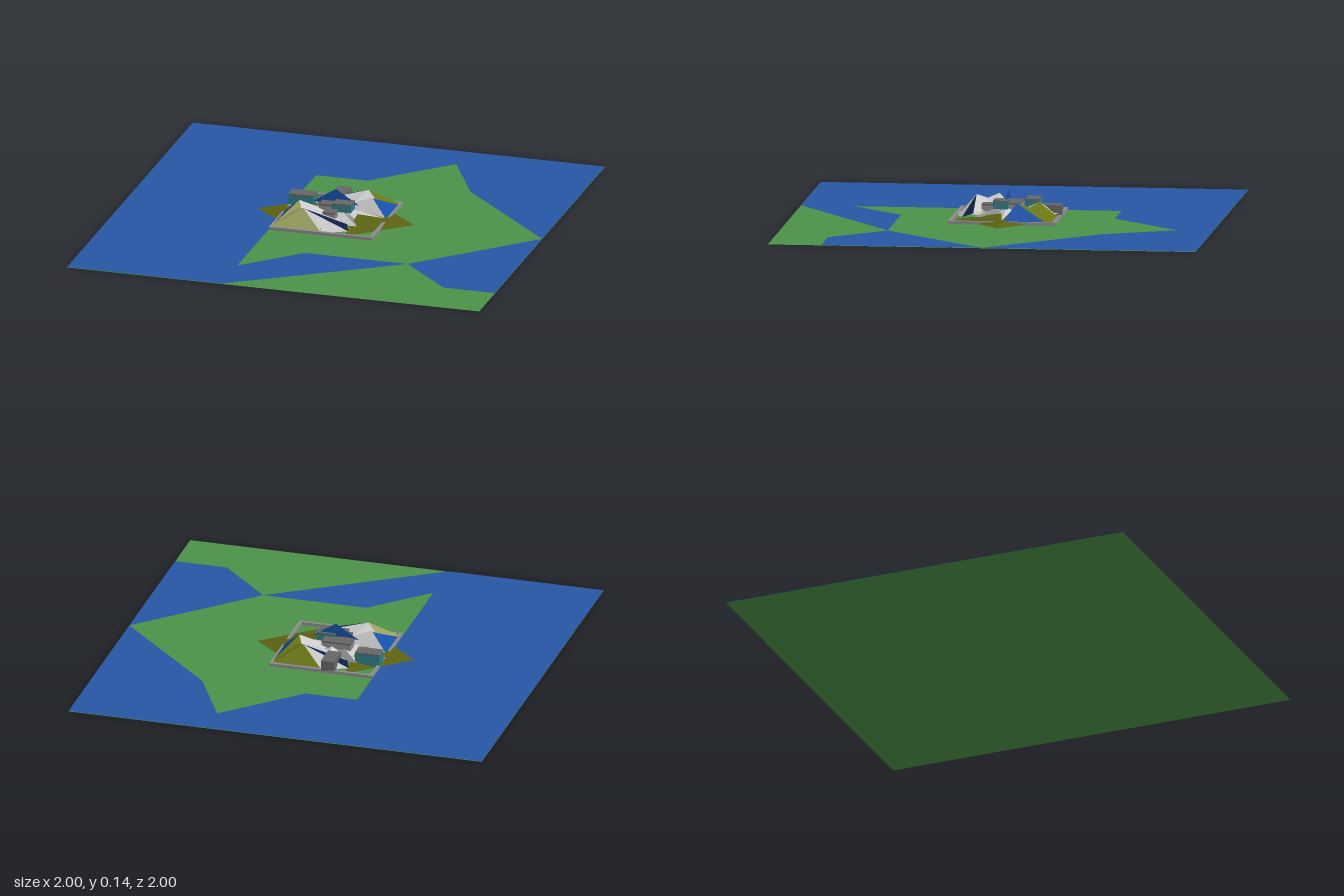
import * as THREE from 'three';

const mat = (color) => new THREE.MeshStandardMaterial({ color, flatShading: true, side: THREE.DoubleSide });
const M = {
  land: mat(0x4a9148), water: mat(0x2656a3), blue: mat(0x1450a8), navy: mat(0x0c1c44),
  olive: mat(0x6b7812), darkOlive: mat(0x5c6212), khaki: mat(0x9a9f60),
  rock: mat(0xcccccc), stone: mat(0x8c8c8c), roof: mat(0x666666), teal: mat(0x2f7f86),
};

// Flat polygon on the ground, points given as [x, z]
function flat(name, pts, y, material) {
  const shape = new THREE.Shape(pts.map(([x, z]) => new THREE.Vector2(x, -z)));
  const mesh = new THREE.Mesh(new THREE.ShapeGeometry(shape).rotateX(-Math.PI / 2), material);
  mesh.name = name;
  mesh.position.y = y;
  return mesh;
}

// Faceted hill: apex joined to a ring of base points, one material per face
function hill(name, apex, ring, materials) {
  const g = new THREE.Group();
  g.name = name;
  ring.forEach((p, i) => {
    const q = ring[(i + 1) % ring.length];
    const geo = new THREE.BufferGeometry();
    geo.setAttribute('position', new THREE.Float32BufferAttribute([...p, ...q, ...apex], 3));
    geo.computeVertexNormals();
    g.add(new THREE.Mesh(geo, materials[i % materials.length]));
  });
  return g;
}

// Box between two heights, given by its x and z ranges
function block(name, x0, x1, y0, y1, z0, z1, material) {
  const mesh = new THREE.Mesh(new THREE.BoxGeometry(x1 - x0, y1 - y0, z1 - z0), material);
  mesh.name = name;
  mesh.position.set((x0 + x1) / 2, (y0 + y1) / 2, (z0 + z1) / 2);
  return mesh;
}

// Half of the hills; the other half is the same turned by 180 degrees
function hillSide(name, frontMaterial) {
  const g = new THREE.Group();
  g.name = name;
  g.add(hill('outerSlope', [-0.11, 0.036, 0],
    [[-0.11, 0.003, -0.24], [-0.38, 0.003, 0], [-0.11, 0.003, 0.24]], [M.darkOlive]));
  g.add(hill('sidePeak', [-0.16, 0.09, 0.06],
    [[-0.25, 0.005, 0], [-0.25, 0.005, 0.22], [-0.11, 0.05, 0.16], [0, 0.04, 0.04]],
    [M.blue, frontMaterial, M.rock, M.rock]));
  g.add(hill('frontPeak', [-0.11, 0.09, 0.16],
    [[-0.25, 0.005, 0.235], [0, 0.005, 0.235], [0.12, 0.015, 0.2], [0.1, 0.03, 0.15], [-0.05, 0.04, 0.06], [-0.17, 0.06, 0.1]],
    [frontMaterial, M.rock, M.navy, M.rock, M.rock, frontMaterial]));
  return g;
}

export function createModel() {
  const model = new THREE.Group();

  // Ground and the water lying on it
  model.add(flat('land', [[-1, -1], [1, -1], [1, 1], [-1, 1]], 0, M.land));
  model.add(flat('sea', [
    [-1, -1], [1, -1], [1, 0], [0.5, -0.5], [0.33, -0.83], [0, -0.5], [-0.25, -0.5],
    [-0.25, 0.75], [0, 0.5], [0.5, 0.5], [-0.25, 1], [-1, 1],
  ], 0.002, M.water));
  model.add(flat('bay', [[1, 0], [1, 0.75], [0.75, 0.75], [0.5, 0.5]], 0.002, M.water));

  // Low wall around the town
  const wall = new THREE.Group();
  wall.name = 'townWall';
  for (const s of [-1, 1]) {
    const a = s * 0.2425;
    wall.add(block('longWall', -0.25, 0.25, 0, 0.015, a - 0.0075, a + 0.0075, M.stone));
    wall.add(block('sideWall', a - 0.0075, a + 0.0075, 0, 0.015, -0.235, 0.235, M.stone));
  }
  model.add(wall);

  // Hills in two halves
  model.add(hillSide('frontHills', M.khaki));
  const back = hillSide('backHills', M.olive);
  back.rotation.y = Math.PI;
  model.add(back);

  // Star-shaped rock in the middle
  const star = [];
  for (let i = 0; i < 16; i++) {
    const a = (i / 16) * Math.PI * 2;
    const r = i % 2 ? 0.13 : i % 4 ? 0.2 : 0.24;
    star.push([Math.cos(a) * r, i % 2 ? 0.012 : 0.02, Math.sin(a) * r]);
  }
  model.add(hill('centralRock', [0, 0.065, 0], star, [M.rock, M.stone, M.rock]));

  // Buildings: teal walls under grey roofs, the rest plain grey
  for (const [x0, x1, y0, y1, z0, z1, walls] of [
    [-0.25, -0.13, 0.005, 0.068, -0.13, -0.065, M.teal],
    [-0.065, 0, 0.01, 0.06, -0.25, -0.13, M.roof],
    [-0.09, 0.05, 0.04, 0.075, -0.065, 0, M.stone],
    [-0.065, 0, 0.045, 0.08, 0, 0.055, M.stone],
    [0, 0.09, 0.05, 0.09, -0.01, 0.06, M.teal],
    [-0.03, 0.03, 0.03, 0.065, 0.065, 0.12, M.stone],
  ]) {
    const b = new THREE.Group();
    b.name = 'building';
    b.add(block('buildingWalls', x0, x1, y0, y1 - 0.008, z0, z1, walls));
    b.add(block('buildingRoof', x0, x1, y1 - 0.008, y1, z0, z1, M.roof));
    model.add(b);
  }

  // Thin upright blue gable at the summit
  const gable = new THREE.Shape([[-0.11, 0.07], [0.11, 0.07], [0, 0.14]].map(([x, y]) => new THREE.Vector2(x, y)));
  const sail = new THREE.Mesh(new THREE.ShapeGeometry(gable), M.blue);
  sail.name = 'summitGable';
  model.add(sail);

  return model;
}
